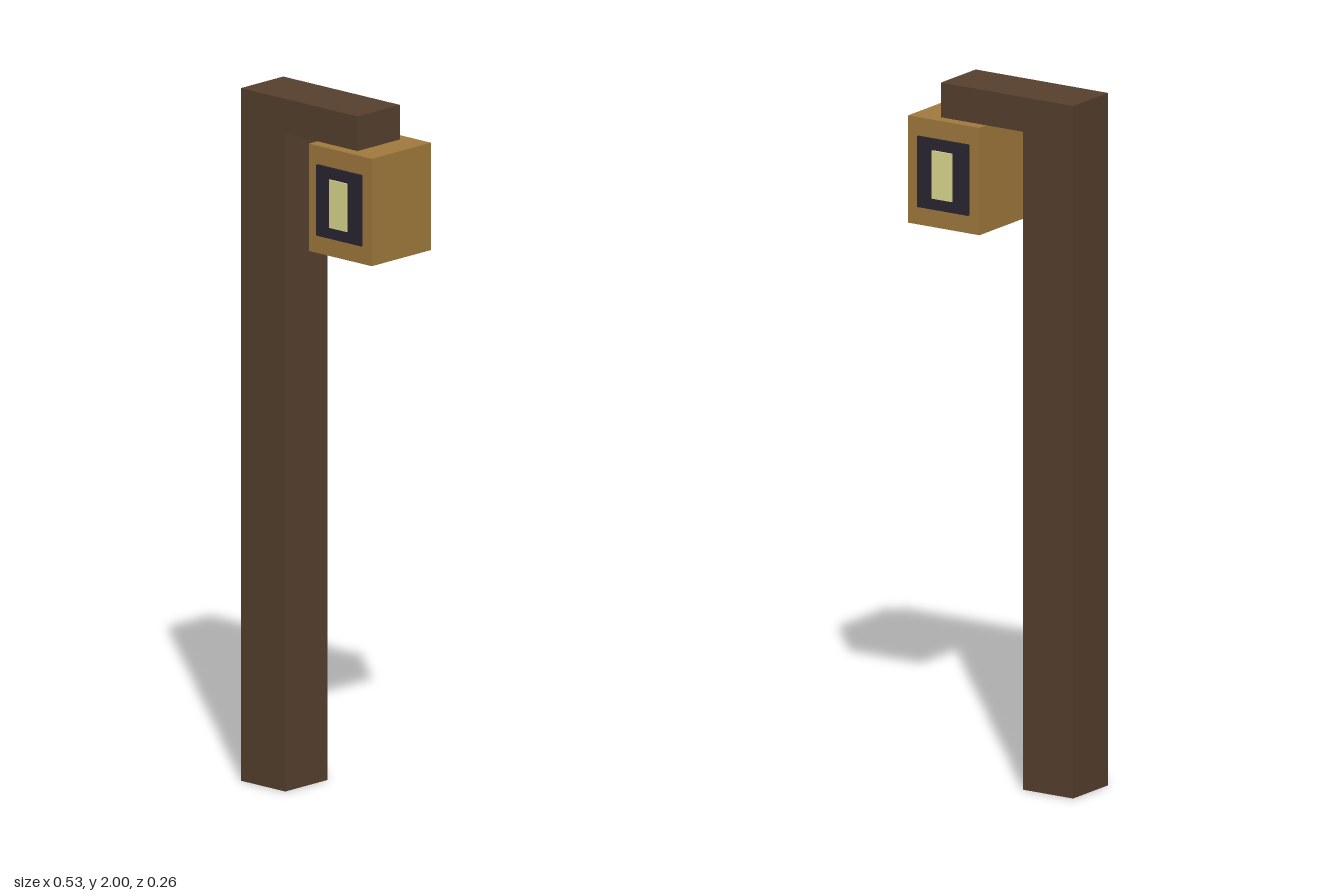
import * as THREE from 'three';

const material = (color) => new THREE.MeshStandardMaterial({ color, flatShading: true });

// Box given by its minimum and maximum corners
function block(name, mat, [x0, y0, z0], [x1, y1, z1]) {
  const mesh = new THREE.Mesh(new THREE.BoxGeometry(x1 - x0, y1 - y0, z1 - z0), mat);
  mesh.position.set((x0 + x1) / 2, (y0 + y1) / 2, (z0 + z1) / 2);
  mesh.name = name;
  return mesh;
}

export function createModel() {
  const model = new THREE.Group();
  model.name = 'lampPost';
  const darkWood = material(0x57412e);
  const lightWood = material(0xa27a3d);
  const iron = material(0x2a2631);
  const glow = material(0xdfdc90);

  // Upright post and the arm reaching out from its top
  model.add(block('post', darkWood, [-0.267, 0, -0.086], [-0.097, 2, 0.086]));
  model.add(block('arm', darkWood, [-0.097, 1.9, -0.086], [0.18, 2, 0.086]));

  // Lantern hanging under the arm
  const lantern = new THREE.Group();
  lantern.name = 'lantern';
  lantern.add(block('lanternBody', lightWood, [0.026, 1.59, -0.1205], [0.267, 1.9, 0.1205]));

  // Window plate and lit pane on the front and back
  for (const [side, s] of [['front', 1], ['back', -1]]) {
    const layer = (name, mat, x0, x1, y0, y1, za, zb) => lantern.add(
      block(side + name, mat, [x0, y0, Math.min(s * za, s * zb)], [x1, y1, Math.max(s * za, s * zb)]));
    layer('WindowPlate', iron, 0.06, 0.232, 1.642, 1.847, 0.1205, 0.127);
    layer('LitPane', glow, 0.113, 0.18, 1.675, 1.814, 0.127, 0.132);
  }
  model.add(lantern);
  return model;
}
